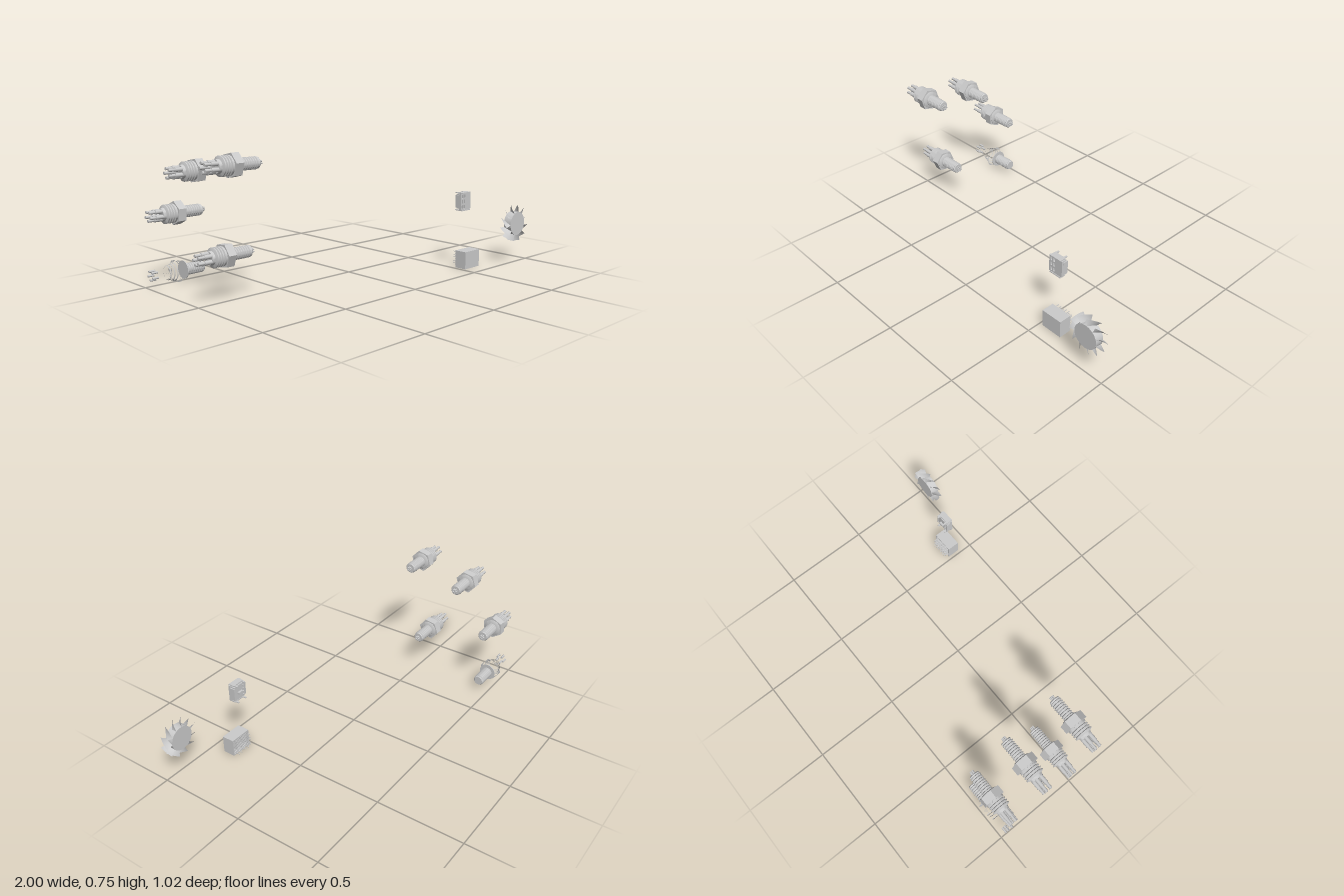
import * as THREE from 'three';
import { toCreasedNormals } from 'three/addons/utils/BufferGeometryUtils.js';
import { ParametricGeometry } from 'three/addons/geometries/ParametricGeometry.js';

const grey = new THREE.MeshStandardMaterial({ color: 0xcccccc });
const flat = new THREE.MeshStandardMaterial({ color: 0xcccccc, flatShading: true });
const thin = new THREE.MeshStandardMaterial({ color: 0xcccccc, side: THREE.DoubleSide });

function add(parent, name, geometry, material = grey) {
  const mesh = new THREE.Mesh(geometry, material);
  mesh.name = name;
  parent.add(mesh);
  return mesh;
}

// Box given by its min and max corners
function block(parent, name, [x0, y0, z0], [x1, y1, z1]) {
  add(parent, name, new THREE.BoxGeometry(x1 - x0, y1 - y0, z1 - z0))
    .position.set((x0 + x1) / 2, (y0 + y1) / 2, (z0 + z1) / 2);
}

// Turned part along x; profile is [x, radius] pairs from -x to +x
function turned(parent, name, profile, material = grey) {
  const points = profile.map(([x, r]) => new THREE.Vector2(r, x));
  const geometry = new THREE.LatheGeometry(points, 32).rotateZ(-Math.PI / 2);
  add(parent, name, toCreasedNormals(geometry, 0.5), material);
}

// Rod along x at an angle and distance around the axis
function rod(parent, name, x0, x1, r, angle, distance) {
  add(parent, name, new THREE.CylinderGeometry(r, r, x1 - x0, 12).rotateZ(Math.PI / 2))
    .position.set((x0 + x1) / 2, distance * Math.cos(angle), distance * Math.sin(angle));
}

function ridges(x0, x1, count, low, high) {
  const out = [];
  const step = (x1 - x0) / count;
  for (let i = 0; i < count; i++) {
    const x = x0 + i * step;
    out.push([x, low], [x + step * 0.25, high], [x + step * 0.65, high], [x + step * 0.9, low]);
  }
  return out;
}

// Threaded front barrel with its face
function barrel(g) {
  turned(g, 'threadedBarrel', [[-0.8, 0.028], ...ridges(-0.798, -0.69, 8, 0.026, 0.032),
    [-0.685, 0.03], [-0.68, 0.026], [-0.68, 0]]);
}

function connector() {
  const g = new THREE.Group();
  barrel(g);
  // Hexagonal nut with a round shoulder
  add(g, 'hexNut', new THREE.CylinderGeometry(0.065, 0.065, 0.045, 6).rotateZ(-Math.PI / 2), flat)
    .position.x = -0.827;
  turned(g, 'nutShoulder', [[-0.86, 0], [-0.86, 0.05], [-0.802, 0.05], [-0.797, 0.04], [-0.797, 0]]);
  // Ribbed rear body
  turned(g, 'rearBody', [[-0.925, 0], [-0.925, 0.033], [-0.91, 0.036], ...ridges(-0.908, -0.85, 4, 0.042, 0.051),
    [-0.85, 0]]);
  // Solder cups at the back, contacts at the front
  for (let i = 0; i < 5; i++) {
    const a = (i / 5) * Math.PI * 2;
    rod(g, 'solderCup', -0.965, -0.92, 0.011, a, 0.024);
    rod(g, 'solderTail', -1, -0.96, 0.008, a, 0.024);
    rod(g, 'contact', -0.69, -0.66, 0.0045, a, 0.009);
  }
  return g;
}

// Incomplete connector: barrel, loose rings, nut rims and pin tails
function partialConnector() {
  const g = new THREE.Group();
  barrel(g);
  turned(g, 'barrelFace', [[-0.802, 0], [-0.802, 0.05], [-0.798, 0.05], [-0.798, 0]]);
  for (const [x, r] of [[-0.9, 0.04], [-0.88, 0.045], [-0.865, 0.05]]) {
    turned(g, 'looseRing', [[x, r - 0.004], [x + 0.003, r]], thin);
  }
  // Narrow corners left between the hexagon and its turned chamfer
  for (const x of [-0.85, -0.838]) {
    const shape = new THREE.Shape();
    for (let i = 0; i < 6; i++) {
      const a = (i * Math.PI) / 3;
      shape[i ? 'lineTo' : 'moveTo'](0.065 * Math.cos(a), 0.065 * Math.sin(a));
    }
    shape.holes.push(new THREE.Path().absarc(0, 0, 0.0555, 0, Math.PI * 2, true));
    add(g, 'nutRim', new THREE.ShapeGeometry(shape, 16).rotateY(Math.PI / 2), thin).position.x = x;
  }
  for (let i = 0; i < 5; i++) rod(g, 'pinTail', -1, -0.965, 0.006, (i / 5) * Math.PI * 2, 0.024);
  return g;
}

function fan() {
  const g = new THREE.Group();
  const blades = 11;
  const depth = 0.048;
  add(g, 'hub', new THREE.CylinderGeometry(0.069, 0.069, depth, 40).rotateX(Math.PI / 2));
  // Twisted blades
  for (let i = 0; i < blades; i++) {
    const base = (i / blades) * Math.PI * 2 + 0.15;
    add(g, 'blade', new ParametricGeometry((u, v, p) => {
      const r = 0.066 + 0.04 * u;
      const a = base + (v - 0.5) * (0.35 + 0.2 * u);
      p.set(r * Math.cos(a), r * Math.sin(a), (v - 0.5) * depth);
    }, 4, 8), thin);
  }
  return g;
}

// Open-backed housing with a grid of pins
function pinHeader() {
  const g = new THREE.Group();
  const t = 0.006;
  block(g, 'frontWall', [0.52, 0, 0.41], [0.646, 0.1, 0.42]);
  block(g, 'bottomWall', [0.52, 0, 0.348], [0.646, t, 0.41]);
  block(g, 'topWall', [0.52, 0.1 - t, 0.348], [0.646, 0.1, 0.41]);
  block(g, 'sideWall', [0.52, t, 0.348], [0.52 + t, 0.1 - t, 0.41]);
  block(g, 'sideWall', [0.646 - t, t, 0.348], [0.646, 0.1 - t, 0.41]);
  block(g, 'divider', [0.6, t, 0.36], [0.604, 0.1 - t, 0.41]);
  for (let row = 0; row < 8; row++) {
    for (let col = 0; col < 6; col++) {
      const x = 0.535 + col * 0.0185;
      const y = 0.011 + row * 0.011;
      const back = (row + col) % 3 ? 0.32 : 0.332;
      block(g, 'pin', [x, y, back], [x + 0.003, y + 0.003, 0.41]);
    }
  }
  return g;
}

// Small rectangular socket with windows on its front
function socket() {
  const g = new THREE.Group();
  const shape = new THREE.Shape();
  shape.moveTo(0.52, 0.338).lineTo(0.607, 0.338).lineTo(0.607, 0.434).lineTo(0.52, 0.434).closePath();
  for (let row = 0; row < 3; row++) {
    for (let col = 0; col < 2; col++) {
      const x = 0.528 + col * 0.018;
      const y = 0.346 + row * 0.03;
      shape.holes.push(new THREE.Path().moveTo(x, y).lineTo(x, y + 0.02)
        .lineTo(x + 0.012, y + 0.02).lineTo(x + 0.012, y));
    }
  }
  add(g, 'faceplate', new THREE.ExtrudeGeometry(shape, { depth: 0.012, bevelEnabled: false }))
    .position.z = 0.366;
  block(g, 'socketBody', [0.525, 0.344, 0.342], [0.602, 0.428, 0.366]);
  // Folded ends, side clips and rear latch
  for (const y of [0.332, 0.432]) {
    block(g, 'endPlate', [0.528, y, 0.346], [0.6, y + 0.006, 0.382]);
    for (const x of [0.53, 0.585]) block(g, 'mountingLeg', [x, y, 0.328], [x + 0.01, y + 0.005, 0.35]);
  }
  for (const x of [0.52, 0.602]) block(g, 'sideClip', [x, 0.35, 0.338], [x + 0.006, 0.422, 0.37]);
  block(g, 'rearLatch', [0.55, 0.378, 0.33], [0.58, 0.39, 0.345]);
  for (let i = 0; i < 4; i++) {
    const y = 0.352 + i * 0.02;
    block(g, 'rearTab', [0.535, y, 0.335], [0.542, y + 0.006, 0.343]);
  }
  return g;
}

export function createModel() {
  const model = new THREE.Group();
  model.name = 'connectorParts';
  // Connectors: height, depth, turn of the nut in degrees
  const places = [[0.684, 0.067, 47], [0.63, -0.245, 49], [0.387, -0.445, 35], [0.23, -0.012, 52], [0.073, -0.445, 23]];
  places.forEach(([y, z, turn], i) => {
    const part = i < 4 ? connector() : partialConnector();
    part.name = i < 4 ? 'connector' : 'partialConnector';
    part.position.set(0, y, z);
    part.rotation.x = THREE.MathUtils.degToRad(i < 4 ? turn : turn + 90);
    model.add(part);
  });
  const wheel = fan();
  wheel.name = 'fan';
  wheel.position.set(0.893, 0.23, 0.485);
  const header = pinHeader();
  header.name = 'pinHeader';
  const plug = socket();
  plug.name = 'socket';
  model.add(wheel, header, plug);
  return model;
}
